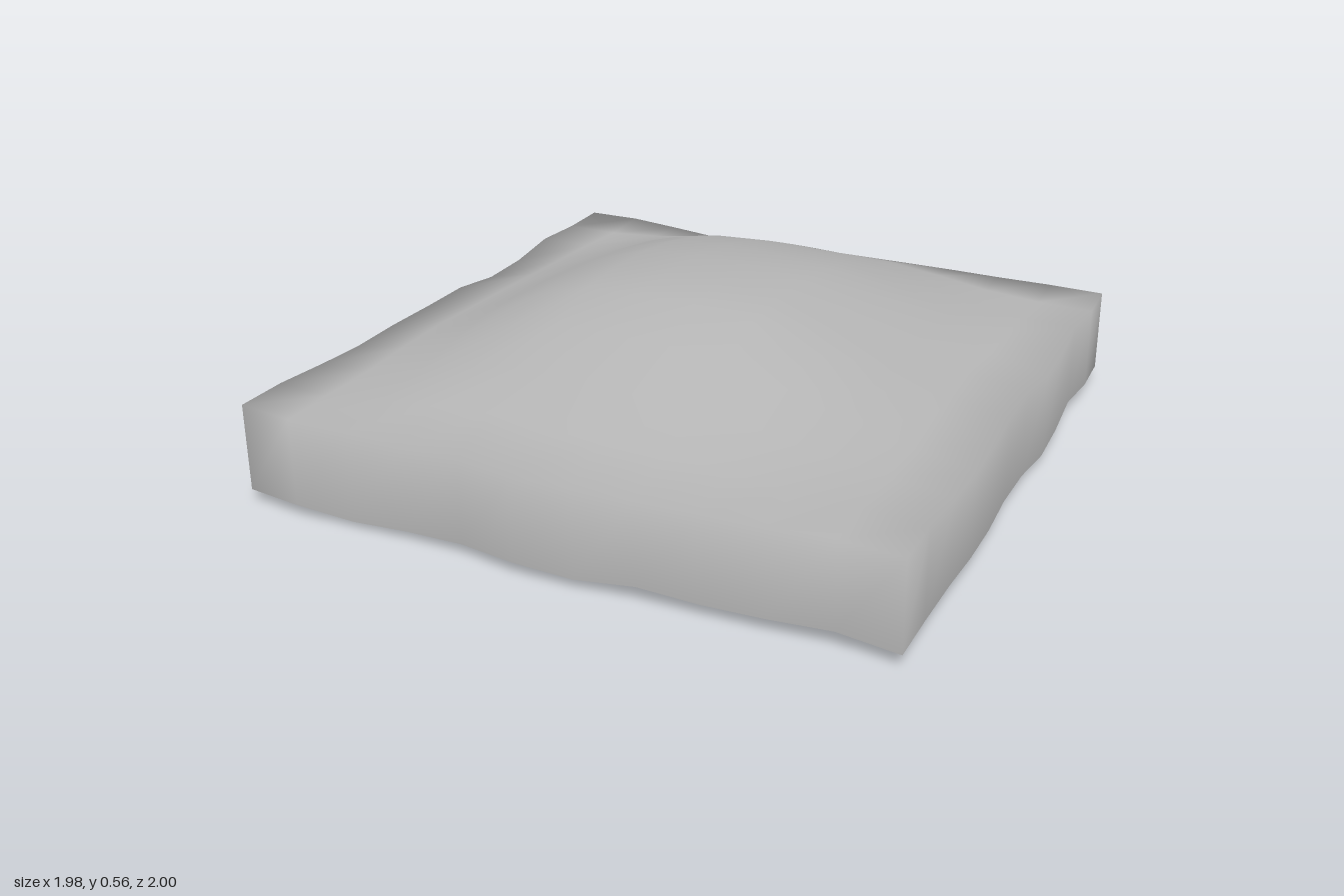
import * as THREE from 'three';

// Wavy outline of the cloth, 12 points per side (back to front, or -x to +x)
const FRONT_Z = [.97, .99, .97, .965, .965, .995, .985, .975, .965, .96, .945, .955];
const BACK_Z = [-.98, -.985, -.97, -.975, -.98, -1, -.985, -.995, -.985, -.97, -.975, -.97];
const MINUS_X = [-.965, -.96, -.965, -.965, -.965, -.97, -.975, -.985, -.985, -.98, -.99, -.98];
const PLUS_X = [.965, .975, .965, .975, .98, .97, .97, .98, .985, .985, .98, .985];

// Mound profiles along x and z
const RISE_X = [0, .11, .38, .74, .96, 1, 1, .9, .64, .34, .12, 0];
const RISE_Z = [0, .26, .52, .74, .9, .98, 1, .96, .74, .47, .2, 0];

// Rim heights and ragged hem heights
const RIM_FRONT = [.305, .305, .3, .285, .29, .295, .295, .295, .3, .305, .305, .305];
const RIM_SIDE = [.305, .305, .31, .285, .28, .3, .295, .29, .285, .295, .3, .305];
const HEM_FRONT = [.04, .04, .02, .03, .035, .04, .03, .05, .04, .045, .05, .04];
const HEM_BACK = [.05, .045, .04, .045, .04, .045, .05, .05, .055, .05, .05, .045];
const HEM_MINUS = [.05, .045, .05, .02, .005, .02, 0, .02, .025, .045, .03, .04];
const HEM_PLUS = [.045, .05, .055, .035, .025, .035, .035, .03, .035, .045, .035, .04];

export function createModel() {
  const N = 12, last = N - 1;
  const positions = [], index = [];
  const id = (i, j) => j * N + i;

  // Domed top
  for (let j = 0; j < N; j++) {
    for (let i = 0; i < N; i++) {
      const x = THREE.MathUtils.lerp(MINUS_X[j], PLUS_X[j], i / last);
      const z = THREE.MathUtils.lerp(BACK_Z[i], FRONT_Z[i], j / last);
      let y = .297 + .258 * RISE_X[i] * RISE_Z[j];
      if (j === 0 || j === last) y = RIM_FRONT[i];
      else if (i === 0 || i === last) y = RIM_SIDE[j];
      positions.push(x, y, z);
      if (i < last && j < last) {
        const a = id(i, j), b = id(i + 1, j), c = id(i, j + 1), d = id(i + 1, j + 1);
        index.push(a, c, b, b, c, d);
      }
    }
  }

  // Hanging skirt, walked round the rim and sharing its points for soft edges
  const rim = [];
  for (let k = 0; k < last; k++) rim.push([k, last, HEM_FRONT[k]]);
  for (let k = last; k > 0; k--) rim.push([last, k, HEM_PLUS[k]]);
  for (let k = last; k > 0; k--) rim.push([k, 0, HEM_BACK[k]]);
  for (let k = 0; k < last; k++) rim.push([0, k, HEM_MINUS[k]]);
  const base = N * N;
  rim.forEach(([i, j, y], k) => {
    const top = id(i, j), n = (k + 1) % rim.length;
    const nextTop = id(rim[n][0], rim[n][1]);
    positions.push(positions[top * 3], y, positions[top * 3 + 2]);
    index.push(base + k, base + n, nextTop, base + k, nextTop, top);
  });

  const geometry = new THREE.BufferGeometry();
  geometry.setAttribute('position', new THREE.Float32BufferAttribute(positions, 3));
  geometry.setIndex(index);
  geometry.computeVertexNormals();

  const grey = new THREE.MeshStandardMaterial({ color: 0xb4b4b4, side: THREE.DoubleSide });
  grey.name = 'soft grey';
  const cover = new THREE.Mesh(geometry, grey);
  cover.name = 'domedCover';

  const group = new THREE.Group();
  group.name = 'drapedCover';
  group.add(cover);
  return group;
}
